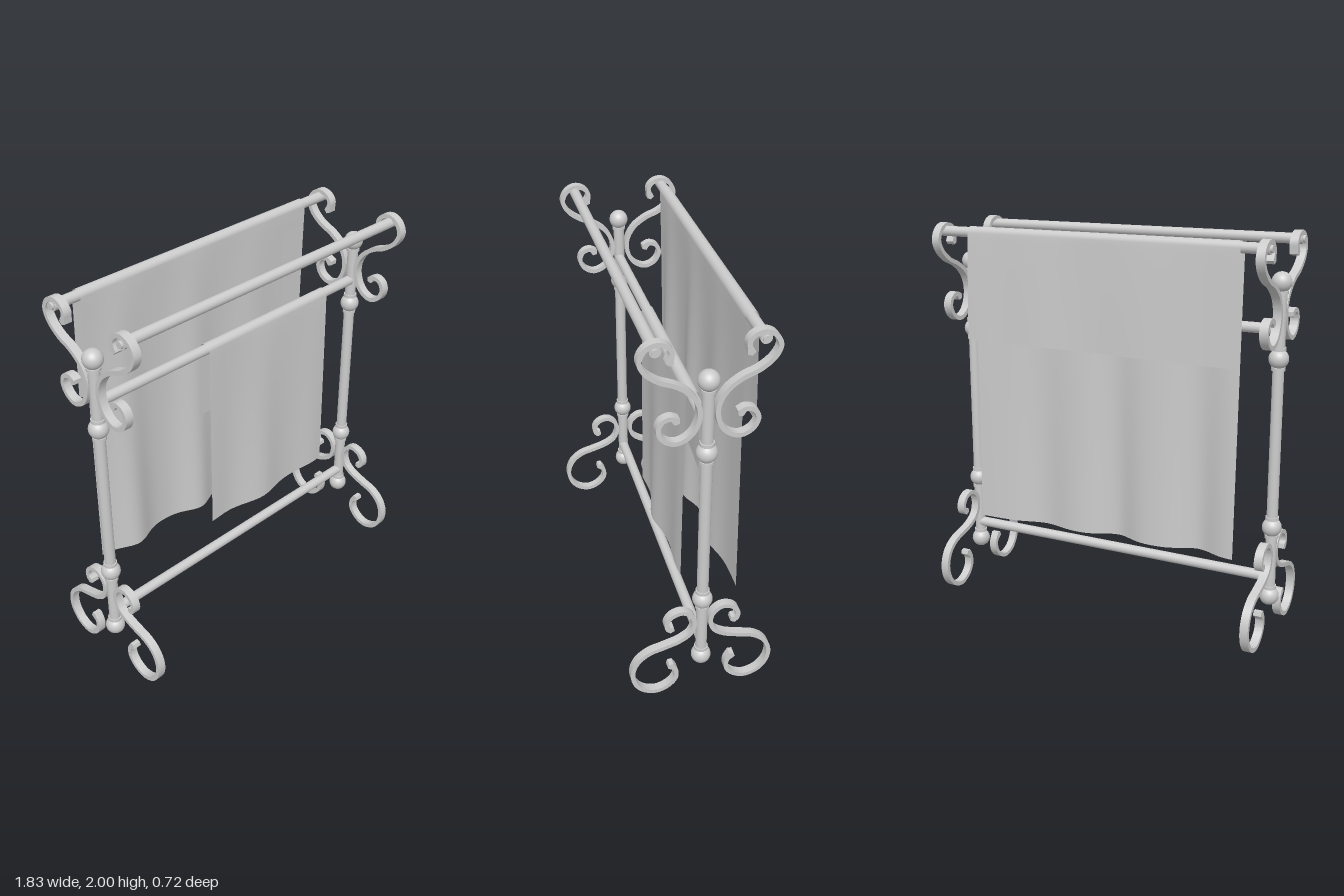
import * as THREE from 'three';
import { toCreasedNormals } from 'three/addons/utils/BufferGeometryUtils.js';

const metal = new THREE.MeshStandardMaterial({ color: 0xcccccc });
const cloth = new THREE.MeshStandardMaterial({ color: 0xcccccc, side: THREE.DoubleSide });

const POST_X = 0.865, RAIL_R = 0.026, STRIP_W = 0.042;

function add(parent, name, geometry, x = 0, y = 0, z = 0, material = metal) {
  const mesh = new THREE.Mesh(geometry, material);
  mesh.name = name;
  mesh.position.set(x, y, z);
  parent.add(mesh);
  return mesh;
}

// Centre lines of the scrolls: distance from the post, height
const UPPER_SCROLL = [
  [0.175, 1.895], [0.165, 1.945], [0.19, 1.977], [0.235, 1.988], [0.28, 1.965], [0.302, 1.915],
  [0.28, 1.862], [0.22, 1.812], [0.143, 1.778], [0.08, 1.73], [0.046, 1.67], [0.04, 1.615],
  [0.06, 1.55], [0.097, 1.51], [0.148, 1.494], [0.2, 1.52], [0.222, 1.57], [0.205, 1.612],
  [0.165, 1.625], [0.138, 1.605],
];
const LOWER_SCROLL = [
  [0.158, 0.168], [0.132, 0.135], [0.132, 0.08], [0.168, 0.035], [0.228, 0.012], [0.296, 0.035],
  [0.338, 0.09], [0.348, 0.16], [0.322, 0.228], [0.265, 0.275], [0.19, 0.298], [0.11, 0.325],
  [0.058, 0.365], [0.04, 0.425], [0.055, 0.475], [0.1, 0.505], [0.153, 0.49], [0.178, 0.45],
  [0.172, 0.418], [0.152, 0.408],
];

// Flat strip following a curve, swelling slightly at its two tips
function scrollGeometry(points) {
  const curve = new THREE.CatmullRomCurve3(points.map(([d, y]) => new THREE.Vector3(d, y, 0)));
  const n = 110, length = curve.getLength(), left = [], right = [];
  for (let i = 0; i <= n; i++) {
    const u = i / n, p = curve.getPointAt(u), t = curve.getTangentAt(u);
    const tip = Math.min(u, 1 - u) * length;
    const half = 0.011 + 0.007 * Math.exp(-((tip / 0.022) ** 2));
    left.push(new THREE.Vector2(p.x - t.y * half, p.y + t.x * half));
    right.push(new THREE.Vector2(p.x + t.y * half, p.y - t.x * half));
    // Rounded tip
    if (i === 0 || i === n) {
      const s = i === 0 ? -1 : 1;
      const end = new THREE.Vector2(p.x + s * t.x * half * 0.7, p.y + s * t.y * half * 0.7);
      if (i === 0) left.unshift(end); else left.push(end);
    }
  }
  const shape = new THREE.Shape([...left, ...right.reverse()]);
  const g = new THREE.ExtrudeGeometry(shape, { depth: STRIP_W, bevelEnabled: false });
  g.translate(0, 0, -STRIP_W / 2);
  return toCreasedNormals(g, 0.7);
}

// Rail along x with small end caps
function addRail(parent, name, y, z, halfLength, caps) {
  const rail = new THREE.Group();
  rail.name = name;
  rail.position.set(0, y, z);
  parent.add(rail);
  add(rail, 'railBar', new THREE.CylinderGeometry(RAIL_R, RAIL_R, halfLength * 2, 24).rotateZ(Math.PI / 2));
  if (!caps) return;
  for (const s of [-1, 1]) {
    add(rail, 'railCap', new THREE.CylinderGeometry(0.018, 0.018, 0.012, 20).rotateZ(Math.PI / 2), s * (halfLength + 0.006));
  }
}

// Sheet draped over a rail: front flap, half turn over the rail, back flap
function towelGeometry({ x0, x1, y, z, r, frontEnd, backEnd, frontFold, backFold, flare }) {
  const nx = 72, nFlap = 24, nArc = 10, rows = [];
  for (let i = 0; i < nFlap; i++) rows.push([1, 1 - i / nFlap]);
  for (let i = 0; i <= nArc; i++) rows.push([0, (i / nArc) * Math.PI]);
  for (let i = 1; i <= nFlap; i++) rows.push([-1, i / nFlap]);
  const pos = [], index = [];
  rows.forEach(([side, k], j) => {
    for (let i = 0; i <= nx; i++) {
      const u = i / nx;
      let x = x0 + (x1 - x0) * u, py, pz;
      if (side === 0) {
        py = y + r * Math.sin(k);
        pz = z + r * Math.cos(k);
      } else {
        const end = side > 0 ? frontEnd(u) : backEnd(u);
        const fold = side > 0 ? frontFold(x) : backFold(x);
        py = y + (end - y) * k;
        pz = z + side * r + fold * Math.pow(k, 0.8);
        x += side > 0 ? -flare * k * (u - 0.5) : flare * k * (u - 0.5);
      }
      pos.push(x, py, pz);
      if (j > 0 && i > 0) {
        const d = j * (nx + 1) + i, b = d - nx - 1;
        index.push(b - 1, b, d, b - 1, d, d - 1);
      }
    }
  });
  const g = new THREE.BufferGeometry();
  g.setAttribute('position', new THREE.Float32BufferAttribute(pos, 3));
  g.setIndex(index);
  g.computeVertexNormals();
  return g;
}

const bump = (x, centre, width) => Math.exp(-(((x - centre) / width) ** 2));

export function createModel() {
  const model = new THREE.Group();
  model.name = 'towelStand';
  const upper = scrollGeometry(UPPER_SCROLL), lower = scrollGeometry(LOWER_SCROLL);

  // Two end frames: post, balls with collars, four scrolls
  for (const s of [-1, 1]) {
    const frame = new THREE.Group();
    frame.name = s > 0 ? 'leftFrame' : 'rightFrame';
    frame.position.x = s * POST_X;
    model.add(frame);
    add(frame, 'post', new THREE.CylinderGeometry(0.028, 0.028, 1.6, 28), 0, 0.99, 0);
    for (const y of [0.2, 0.565, 1.415, 1.78]) {
      add(frame, 'ball', new THREE.SphereGeometry(0.049, 28, 18), 0, y, 0);
    }
    for (const y of [0.248, 0.517, 0.613, 1.367, 1.463, 1.732]) {
      add(frame, 'collar', new THREE.CylinderGeometry(0.034, 0.034, 0.016, 28), 0, y, 0);
    }
    for (const front of [1, -1]) {
      add(frame, 'upperScroll', upper).rotation.y = -front * Math.PI / 2;
      add(frame, 'footScroll', lower).rotation.y = -front * Math.PI / 2;
    }
  }

  // Rails
  addRail(model, 'topFrontRail', 1.957, 0.235, 0.887, true);
  addRail(model, 'topBackRail', 1.957, -0.235, 0.887, true);
  addRail(model, 'middleRail', 1.555, 0, POST_X, false);
  addRail(model, 'bottomRail', 0.3, 0, POST_X, false);

  // Large towel on the back rail
  add(model, 'largeTowel', towelGeometry({
    x0: -0.755, x1: 0.7, y: 1.957, z: -0.235, r: 0.031, flare: 0.018,
    frontEnd: (u) => 0.452 - 0.012 * u,
    backEnd: (u) => 1.405 + 0.012 * u,
    frontFold: (x) => -0.024 + 0.062 * bump(x, -0.55, 0.11) + 0.062 * bump(x, -0.1, 0.11) + 0.042 * bump(x, 0.32, 0.13),
    backFold: (x) => -0.008 + 0.012 * Math.sin(x * 10 + 1.8) * (0.6 + 0.4 * x) - 0.016 * bump(x, 0.62, 0.12),
  }), 0, 0, 0, cloth);

  // Small towel on the middle rail
  add(model, 'smallTowel', towelGeometry({
    x0: -0.207, x1: 0.632, y: 1.555, z: 0, r: 0.031, flare: 0.004,
    frontEnd: (u) => 0.52 - 0.004 * Math.sin(u * 6),
    backEnd: () => 1.155,
    frontFold: (x) => 0.006 + 0.032 * bump(x, 0.15, 0.12) + 0.012 * bump(x, 0.55, 0.1) - 0.012 * bump(x, -0.08, 0.1),
    backFold: (x) => -0.01 + 0.006 * Math.sin(x * 12),
  }), 0, 0, 0, cloth);

  return model;
}
